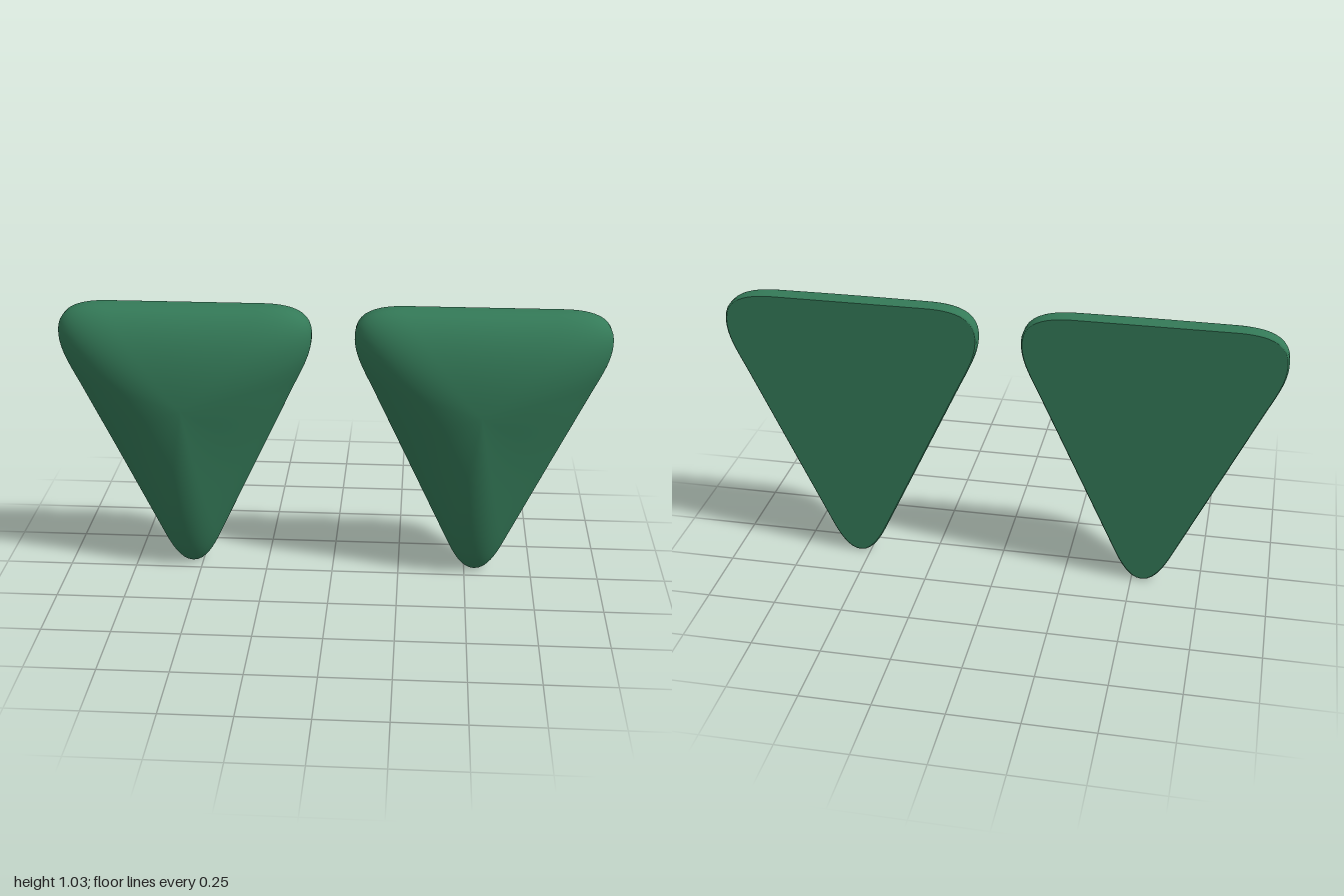
import * as THREE from 'three';

const PEAK_Y = 0.68;   // height of the fullest point of the dome
const BACK_Z = -0.1;
const RIM_Z = -0.06;   // where the dome meets the short side wall
const PEAK_Z = 0.1;

// Rounded triangle, point down, counter-clockwise from the tip
function outline() {
  const s = new THREE.Shape();
  s.moveTo(0, 0);
  s.bezierCurveTo(0.045, 0, 0.078, 0.055, 0.108, 0.12);
  s.lineTo(0.4, 0.74);
  s.bezierCurveTo(0.44, 0.82, 0.461, 0.865, 0.461, 0.92);
  s.bezierCurveTo(0.461, 1.0, 0.4, 1.03, 0.28, 1.03);
  s.lineTo(-0.28, 1.03);
  s.bezierCurveTo(-0.4, 1.03, -0.461, 1.0, -0.461, 0.92);
  s.bezierCurveTo(-0.461, 0.865, -0.44, 0.82, -0.4, 0.74);
  s.lineTo(-0.108, 0.12);
  s.bezierCurveTo(-0.078, 0.055, -0.045, 0, 0, 0);
  return s.getSpacedPoints(160).slice(0, -1);
}

// Dome height at fraction t from peak to rim: fuller upwards, leaner towards the tip
function domeZ(t, p) {
  const dy = p.y - PEAK_Y;
  const w = (1 + dy / Math.hypot(p.x, dy)) / 2;
  const a = THREE.MathUtils.lerp(1.7, 2.5, w);
  const b = THREE.MathUtils.lerp(0.68, 0.5, w);
  return RIM_Z + (PEAK_Z - RIM_Z) * Math.pow(Math.max(0, 1 - Math.pow(t, a)), b);
}

function padGeometry() {
  const pts = outline(), n = pts.length, steps = 32;
  const pos = [0, PEAK_Y, PEAK_Z], index = [];
  const addRing = (t, zAt) => {
    const first = pos.length / 3;
    for (const p of pts) pos.push(p.x * t, PEAK_Y + (p.y - PEAK_Y) * t, zAt(p));
    return first;
  };

  // Domed front, side wall and small rounded back edge
  const rings = [];
  for (let i = 1; i <= steps; i++) {
    const t = Math.sin((i / steps) * Math.PI / 2);
    rings.push(addRing(t, (p) => domeZ(t, p)));
  }
  for (const [t, z] of [[1, -0.092], [0.997, -0.097], [0.988, BACK_Z]]) rings.push(addRing(t, () => z));
  for (let j = 0; j < n; j++) {
    const k = (j + 1) % n;
    index.push(0, rings[0] + j, rings[0] + k);
    for (let r = 0; r < rings.length - 1; r++) {
      const a = rings[r], b = rings[r + 1];
      index.push(a + j, b + j, b + k, a + j, b + k, a + k);
    }
  }

  // Flat back with its own vertices so the edge stays crisp
  const back = addRing(0.988, () => BACK_Z);
  const centre = pos.length / 3;
  pos.push(0, PEAK_Y, BACK_Z);
  for (let j = 0; j < n; j++) index.push(centre, back + ((j + 1) % n), back + j);

  const g = new THREE.BufferGeometry();
  g.setAttribute('position', new THREE.Float32BufferAttribute(pos, 3));
  g.setIndex(index);
  g.computeVertexNormals();
  return g;
}

export function createModel() {
  const group = new THREE.Group();
  const geometry = padGeometry();
  const material = new THREE.MeshStandardMaterial({ color: 0x347a58 });
  for (const [name, side] of [['leftPad', 1], ['rightPad', -1]]) {
    const pad = new THREE.Mesh(geometry, material);
    pad.name = name;
    pad.position.x = side * 0.539;
    group.add(pad);
  }
  return group;
}
